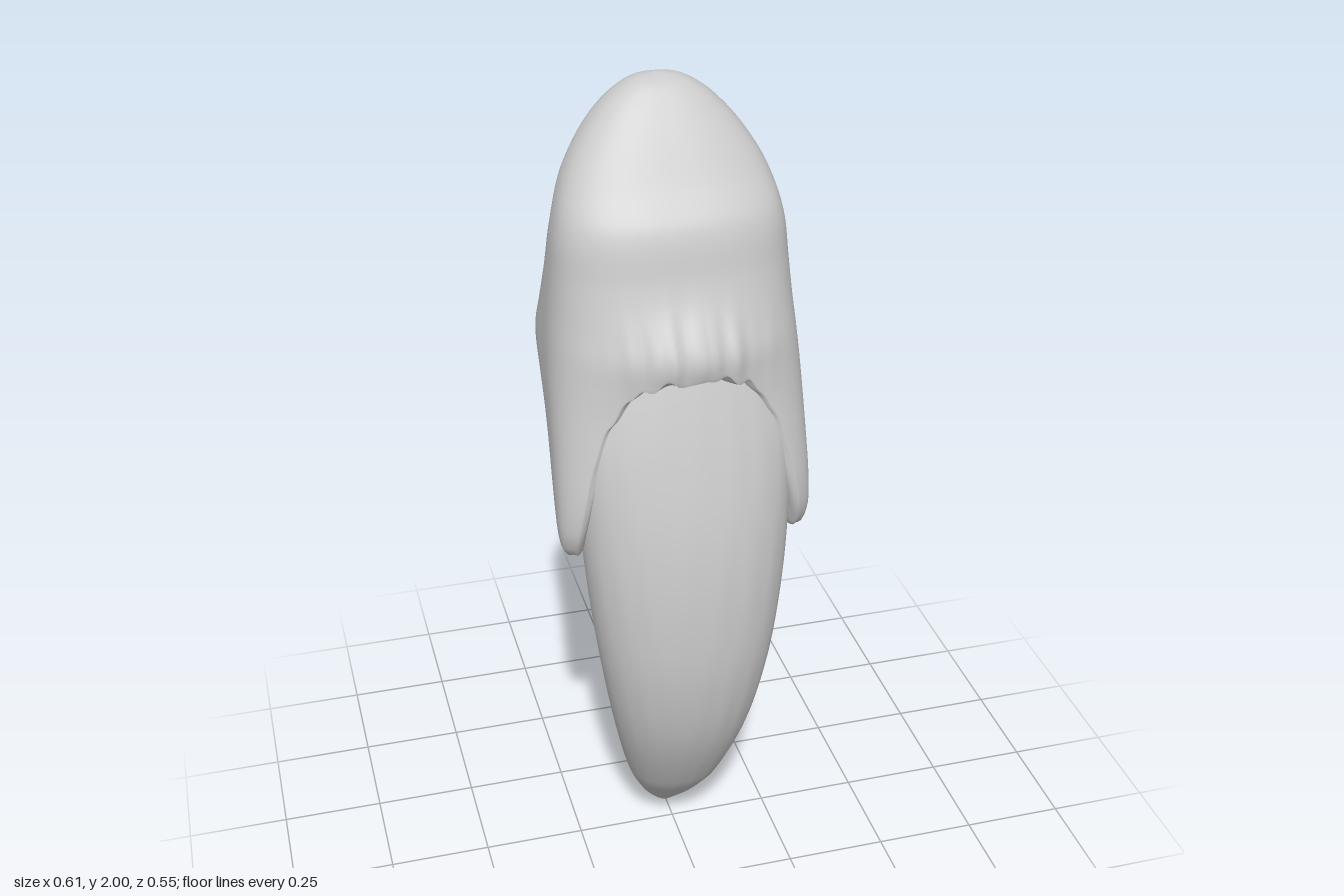
import * as THREE from 'three';

// Smooth lookup in a short table of [position, value] pairs, in order.
function profile(points) {
  const dir = Math.sign(points[1][0] - points[0][0]);
  const slope = (i) => {
    const a = points[Math.max(i - 1, 0)], b = points[Math.min(i + 1, points.length - 1)];
    return (b[1] - a[1]) / (b[0] - a[0]);
  };
  return (y) => {
    let i = 0;
    while (i < points.length - 2 && (y - points[i + 1][0]) * dir > 0) i++;
    const [y0, v0] = points[i], [y1, v1] = points[i + 1], h = y1 - y0;
    const t = THREE.MathUtils.clamp((y - y0) / h, 0, 1), t2 = t * t, t3 = t2 * t;
    return v0 * (2 * t3 - 3 * t2 + 1) + v1 * (3 * t2 - 2 * t3)
      + h * (slope(i) * (t3 - 2 * t2 + t) + slope(i + 1) * (t3 - t2));
  };
}

// Loft of closed rings, running from the top downwards.
function loft(rows, cols, pointAt) {
  const pos = [], index = [];
  for (let i = 0; i <= rows; i++) {
    for (let j = 0; j < cols; j++) {
      pos.push(...pointAt(i / rows, (j / cols) * Math.PI * 2));
      if (i === rows) continue;
      const a = i * cols + j, b = i * cols + (j + 1) % cols;
      index.push(a, b, a + cols, b, b + cols, a + cols);
    }
  }
  const g = new THREE.BufferGeometry();
  g.setAttribute('position', new THREE.Float32BufferAttribute(pos, 3));
  g.setIndex(index);
  g.computeVertexNormals();
  return g;
}

const bump = (v, centre, width) => Math.exp(-(((v - centre) / width) ** 2));
const power = (v, e) => Math.sign(v) * Math.abs(v) ** e;
const { lerp, smoothstep } = THREE.MathUtils;

// Bone core: half width, front and back depth by height
const boneWidth = profile([[2, 0], [1.995, 0.045], [1.975, 0.09], [1.94, 0.135], [1.88, 0.188],
  [1.8, 0.235], [1.7, 0.265], [1.6, 0.277], [1.4, 0.295], [1.2, 0.302], [1.03, 0.304], [0.97, 0.297], [0.94, 0.282]]);
const boneFront = profile([[2, -0.135], [1.99, -0.1], [1.97, -0.075], [1.9, -0.02], [1.8, 0.045],
  [1.72, 0.1], [1.6, 0.13], [1.5, 0.158], [1.44, 0.175], [1.38, 0.182], [1.3, 0.19],
  [1.2, 0.205], [1.1, 0.215], [1.02, 0.205], [0.97, 0.175], [0.95, 0.15], [0.94, 0.115]]);
const boneBack = profile([[2, -0.145], [1.99, -0.175], [1.97, -0.192], [1.92, -0.21], [1.8, -0.206],
  [1.7, -0.206], [1.6, -0.228], [1.53, -0.246], [1.48, -0.248], [1.43, -0.235], [1.37, -0.2],
  [1.3, -0.155], [1.2, -0.1], [1.1, -0.045], [1, 0.02], [0.96, 0.055], [0.94, 0.095]]);
const backSquareness = profile([[2, 2], [1.8, 2.1], [1.67, 2.3], [1.57, 3.3], [1.48, 4.4], [1.38, 3.6], [1.25, 2.8],
  [0.94, 2.4]]);

function boneSkin(y, a) {
  const c = Math.cos(a), s = Math.sin(a), w = boneWidth(y);
  if (s > 0) {
    // front, with wrinkles and swelling along the lip
    const zf = boneFront(y), mid = (zf + boneBack(y)) / 2, x = w * power(c, 0.8);
    const lip = s * bump(y, 1.45, 0.08) * bump(x, 0, 0.14)
      * (0.03 + 0.006 * Math.sin(x * 75) + 0.004 * Math.sin(x * 131 + 1));
    return [x, y, mid + (zf - mid) * s ** 0.8 + lip];
  }
  // back, with a cross ridge that sinks towards its corners and a middle knob
  const mid = (boneFront(y) + boneBack(y)) / 2;
  const sink = y + 0.075 * Math.min(c * c * 1.6, 1) * bump(y, 1.48, 0.17);
  const e = 2 / backSquareness(sink), x = w * power(c, e);
  const knob = -0.03 * bump(x, 0, 0.07) * bump(y, 1.51, 0.06);
  return [x, y, mid + (boneBack(sink) - mid) * Math.abs(s) ** e + knob];
}

// Drop of the lower rim across the half width: arch in the middle, lobe at the side
const rimDrop = profile([[0, 0], [0.33, 0.025], [0.5, 0.09], [0.67, 0.26], [0.78, 0.48], [0.85, 0.72],
  [0.9, 0.92], [0.94, 1], [1, 1]]);

function bonePoint(v, a) {
  const s = Math.sin(a), top = s > 0 ? 1.4 : 1.37;
  let rim = top - (top - 0.94) * Math.min(rimDrop(Math.abs(Math.cos(a)) ** 0.78), 1);
  if (s > 0) rim += s ** 4 * 0.007 * (Math.sin(a * 23) + Math.sin(a * 37 + 1));
  const outer = 0.75;
  if (v <= outer) return boneSkin(2 - (2 - rim) * (v / outer) ** 1.4, a);
  // underside folds in behind the lobes; at the back it slopes down to the blade
  const r = (v - outer) / (1 - outer), p = boneSkin(rim, a);
  const q = r ** 1.3, front = smoothstep(s, -0.4, 0.15);
  const rise = smoothstep(q, 0.01, lerp(0.75, 0.42, front));
  return [lerp(p[0], 0, q), lerp(p[1], lerp(1.23, 1.38, front), rise), lerp(p[2], lerp(0.19, 0.1, front), q)];
}

// Claw blade: half width, front crest, side edge by height
const clawWidth = profile([[1.46, 0.2], [1.3, 0.235], [1.2, 0.25], [1, 0.25], [0.8, 0.234], [0.6, 0.207],
  [0.4, 0.17], [0.2, 0.12], [0.1, 0.08], [0.04, 0.048], [0.01, 0.022], [0, 0]]);
const clawFront = profile([[1.46, 0.14], [1.4, 0.165], [1.2, 0.22], [1, 0.26], [0.8, 0.275], [0.6, 0.264],
  [0.4, 0.215], [0.2, 0.115], [0.1, 0.035], [0.03, -0.035], [0, -0.066]]);
const clawEdge = profile([[1.46, 0.06], [1.2, 0.1], [1, 0.108], [0.8, 0.116], [0.6, 0.113], [0.4, 0.08],
  [0.2, 0.01], [0.1, -0.035], [0.03, -0.072], [0, -0.072]]);

function clawPoint(v, a) {
  const y = 1.46 * (1 - v) ** 1.15, s = Math.sin(a);
  const ze = clawEdge(y), d = clawFront(y) - ze;
  const x = clawWidth(y) * power(Math.cos(a), 0.92);
  // rounded front; hollow, lightly fluted back between two rims
  const z = s >= 0
    ? ze + d * s ** 0.92 + 0.006 * d * s * Math.sin(a * 19) * Math.sin(y * 9)
    : ze + d * (0.5 * Math.abs(s) ** 1.6 + 0.012 * s * s * Math.cos(a * 16));
  return [x, y, z];
}

export function createModel() {
  const group = new THREE.Group();
  group.name = 'claw';
  const material = new THREE.MeshStandardMaterial({ color: 0xcccccc, side: THREE.DoubleSide });
  const add = (name, geometry) => {
    const mesh = new THREE.Mesh(geometry, material);
    mesh.name = name;
    group.add(mesh);
  };
  add('boneCore', loft(120, 240, bonePoint));
  add('clawBlade', loft(90, 128, clawPoint));
  return group;
}
